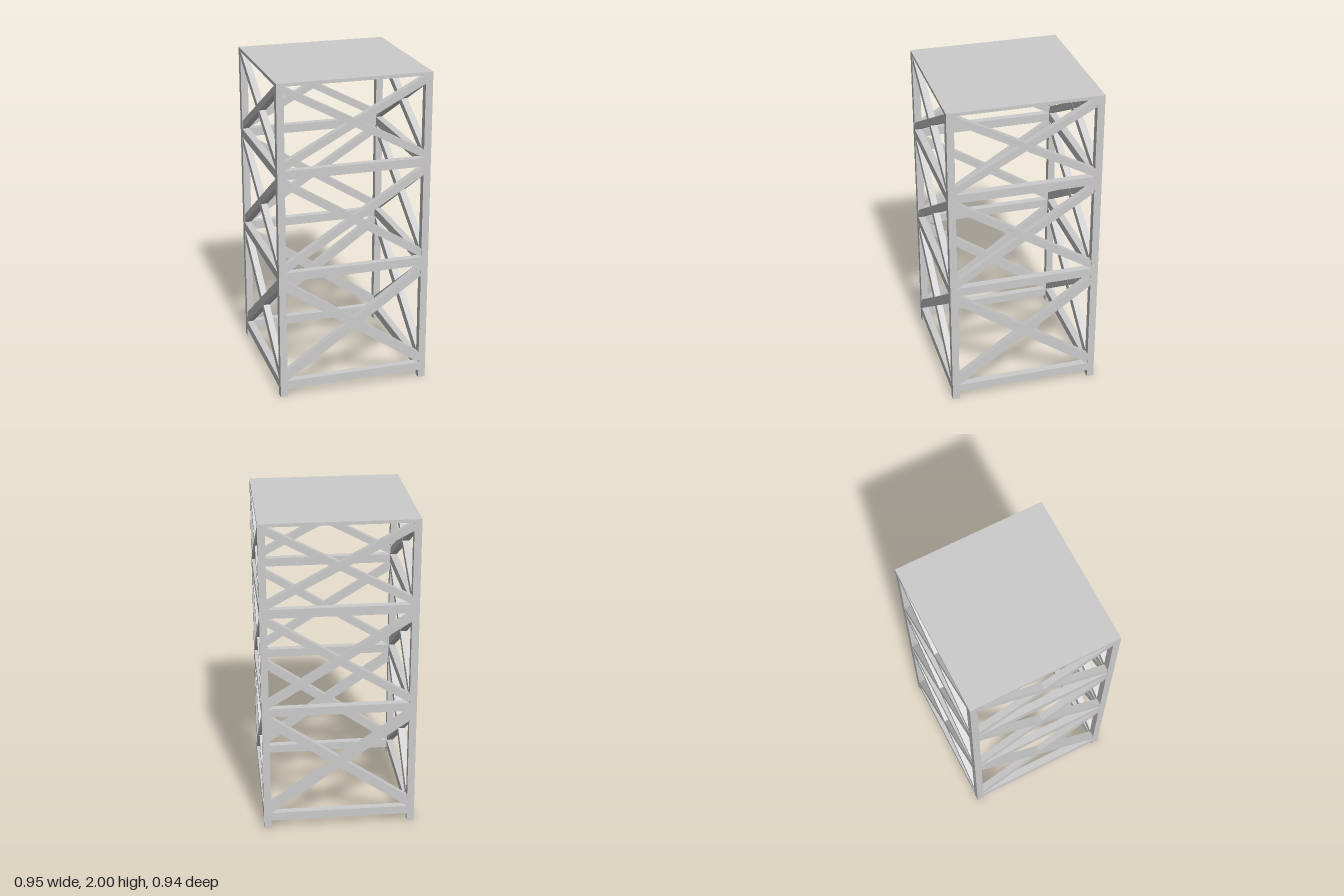
import * as THREE from 'three';

const HX = 0.475, HZ = 0.47, T = 0.045; // half footprint and post thickness
const DECK = 0.02, BEAM = 0.055;
const beamBottoms = [0.05, 0.775, 1.42];
// bays between beams: bottom, top, vertical thickness of the braces
const bays = [[0.105, 0.775, 0.07], [0.83, 1.42, 0.055], [1.475, 1.98, 0.05]];

export function createModel() {
  const material = new THREE.MeshStandardMaterial({ color: 0xcccccc, flatShading: true });
  const tower = new THREE.Group();
  tower.name = 'tower';

  const add = (parent, name, geometry, x, y, z) => {
    const mesh = new THREE.Mesh(geometry, material);
    mesh.name = name;
    mesh.position.set(x, y, z);
    parent.add(mesh);
  };

  // top deck
  add(tower, 'deck', new THREE.BoxGeometry(HX * 2, DECK, HZ * 2), 0, 2 - DECK / 2, 0);

  // corner posts
  const postHeight = 2 - DECK;
  for (const sx of [-1, 1]) for (const sz of [-1, 1]) {
    add(tower, 'cornerPost', new THREE.BoxGeometry(T, postHeight, T),
      sx * (HX - T / 2), postHeight / 2, sz * (HZ - T / 2));
  }

  // diagonal brace: a slanted strip whose ends are cut flush with the posts
  const braceGeometry = (w, [y0, y1, v], dir, depth) => {
    const corners = [[-w, y0], [w, y1 - v], [w, y1], [-w, y0 + v]];
    const shape = new THREE.Shape(corners.map(([x, y]) => new THREE.Vector2(x * dir, y)));
    return new THREE.ExtrudeGeometry(shape, { depth, bevelEnabled: false }).translate(0, 0, -depth / 2);
  };

  // one side frame: horizontal beams and crossed braces
  const sideFrame = (name, halfWidth, distance, angle) => {
    const side = new THREE.Group();
    side.name = name;
    const w = halfWidth - T, z = distance - T / 2;
    for (const y of beamBottoms) {
      add(side, 'beam', new THREE.BoxGeometry(w * 2, BEAM, T), 0, y + BEAM / 2, z);
    }
    for (const bay of bays) {
      add(side, 'risingBrace', braceGeometry(w, bay, 1, 0.042), 0, 0, z);
      add(side, 'fallingBrace', braceGeometry(w, bay, -1, 0.04), 0, 0, z);
    }
    side.rotation.y = angle;
    tower.add(side);
  };
  sideFrame('frontFrame', HX, HZ, 0);
  sideFrame('leftFrame', HZ, HX, Math.PI / 2);
  sideFrame('backFrame', HX, HZ, Math.PI);
  sideFrame('rightFrame', HZ, HX, -Math.PI / 2);

  return tower;
}
